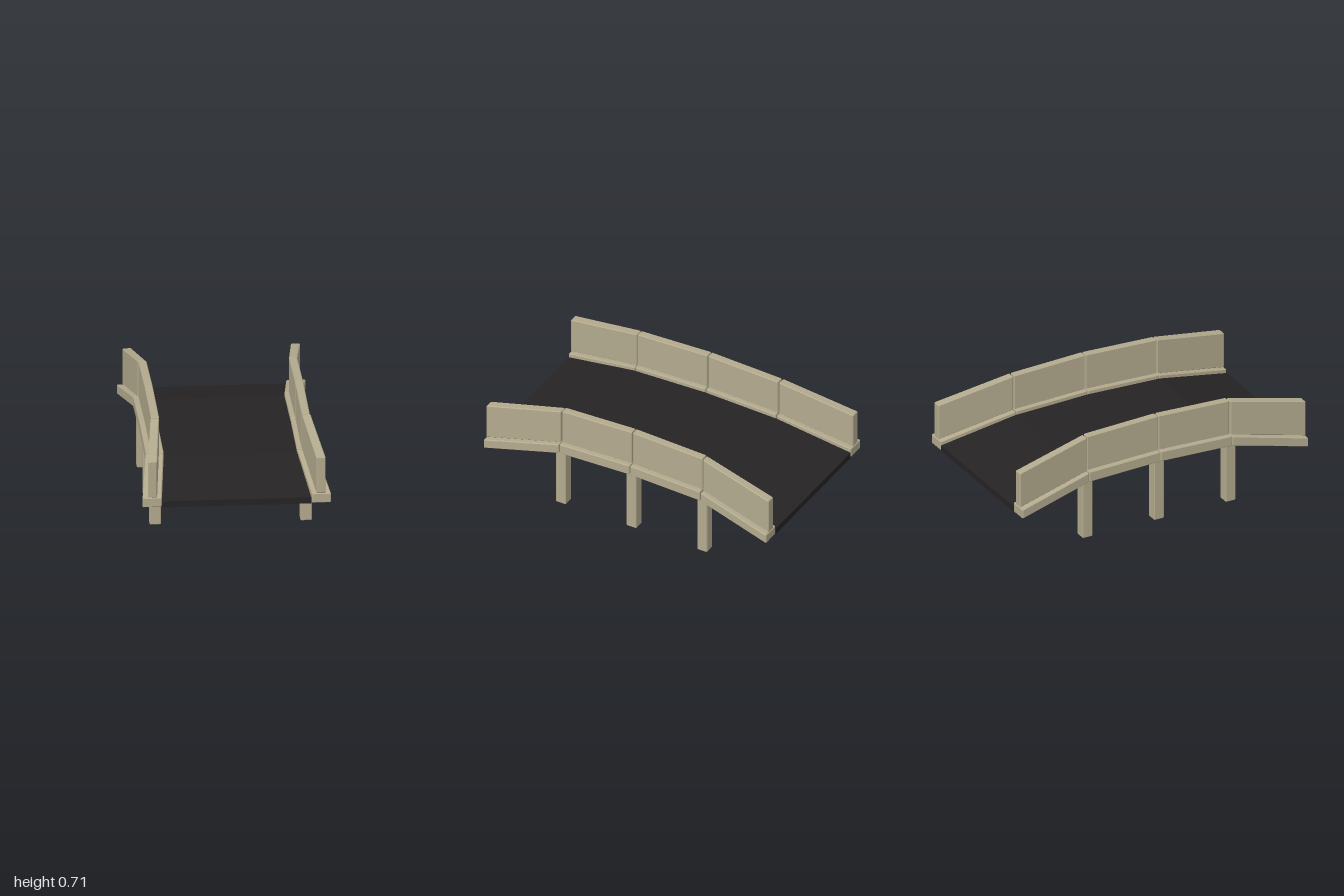
import * as THREE from 'three';
import { ConvexGeometry } from 'three/addons/geometries/ConvexGeometry.js';

const stone = new THREE.MeshStandardMaterial({ color: 0xb3aa8e, flatShading: true });
const asphalt = new THREE.MeshStandardMaterial({ color: 0x252324, flatShading: true });

// Bevelled block between two cross-sections { z, x: [min, max], y: [min, max] }
function block(a, b, side, bevel) {
  const { lerp } = THREE.MathUtils;
  const size = [a.x[1] - a.x[0], a.y[1] - a.y[0], Math.abs(b.z - a.z)];
  const points = [];
  for (const u of [0, 1]) for (const v of [0, 1]) for (const w of [0, 1]) {
    // Each corner becomes three points, one on each meeting face
    for (let axis = 0; axis < 3; axis++) {
      const [p, q, r] = [u, v, w].map((c, i) => {
        const inset = i === axis ? 0 : bevel / size[i];
        return c ? 1 - inset : inset;
      });
      points.push(new THREE.Vector3(
        side * lerp(lerp(a.x[0], a.x[1], p), lerp(b.x[0], b.x[1], p), r),
        lerp(lerp(a.y[0], a.y[1], q), lerp(b.y[0], b.y[1], q), r),
        lerp(a.z, b.z, r)
      ));
    }
  }
  return new ConvexGeometry(points);
}

// Cross-sections at the middle, the quarter joint and the end of the bridge
const curb = [
  { z: 0.003, x: [0.41, 0.52], y: [0.41, 0.478] },
  { z: 0.497, x: [0.41, 0.52], y: [0.393, 0.462] },
  { z: 0.503, x: [0.412, 0.522], y: [0.393, 0.458] },
  { z: 1, x: [0.462, 0.58], y: [0.29, 0.352] },
];
const wall = [
  { z: 0.003, x: [0.438, 0.488], y: [0.474, 0.711] },
  { z: 0.497, x: [0.438, 0.488], y: [0.457, 0.692] },
  { z: 0.503, x: [0.44, 0.492], y: [0.455, 0.689] },
  { z: 1, x: [0.49, 0.547], y: [0.352, 0.588] },
];

export function createModel() {
  const model = new THREE.Group();
  const add = (name, geometry, material) => {
    const mesh = new THREE.Mesh(geometry, material);
    mesh.name = name;
    model.add(mesh);
  };

  // Arched road deck, flared at both ends
  const deck = new THREE.BoxGeometry(1, 1, 2, 1, 1, 4);
  const pos = deck.attributes.position;
  for (let i = 0; i < pos.count; i++) {
    const z = pos.getZ(i);
    const k = Math.round(Math.abs(z) * 2);
    const top = [0.452, 0.436, 0.328][k];
    pos.setX(i, Math.sign(pos.getX(i)) * [0.411, 0.411, 0.458][k]);
    pos.setY(i, pos.getY(i) > 0 ? top : top - 0.04);
  }
  deck.computeVertexNormals();
  add('roadDeck', deck, asphalt);

  for (const side of [1, -1]) {
    const label = side > 0 ? 'left' : 'right';
    // Curb beams and parapet walls, two lengths towards each end
    for (const dir of [1, -1]) {
      for (const i of [0, 2]) {
        for (const [name, s] of [['Curb', curb], ['Parapet', wall]]) {
          const [a, b] = [s[i], s[i + 1]].map((c) => ({ ...c, z: c.z * dir }));
          add(label + name, block(a, b, side, 0.005), stone);
        }
      }
    }
    // Support posts under the joints
    for (const z of [-0.5, 0, 0.5]) {
      const section = { x: [0.428, 0.499], y: [0.003, z ? 0.41 : 0.425] };
      add(label + 'Post', block({ ...section, z: z - 0.035 }, { ...section, z: z + 0.035 }, side, 0.005), stone);
    }
  }

  // Settle the posts on the ground
  model.children.forEach((mesh) => { mesh.position.y = -0.003; });
  return model;
}
